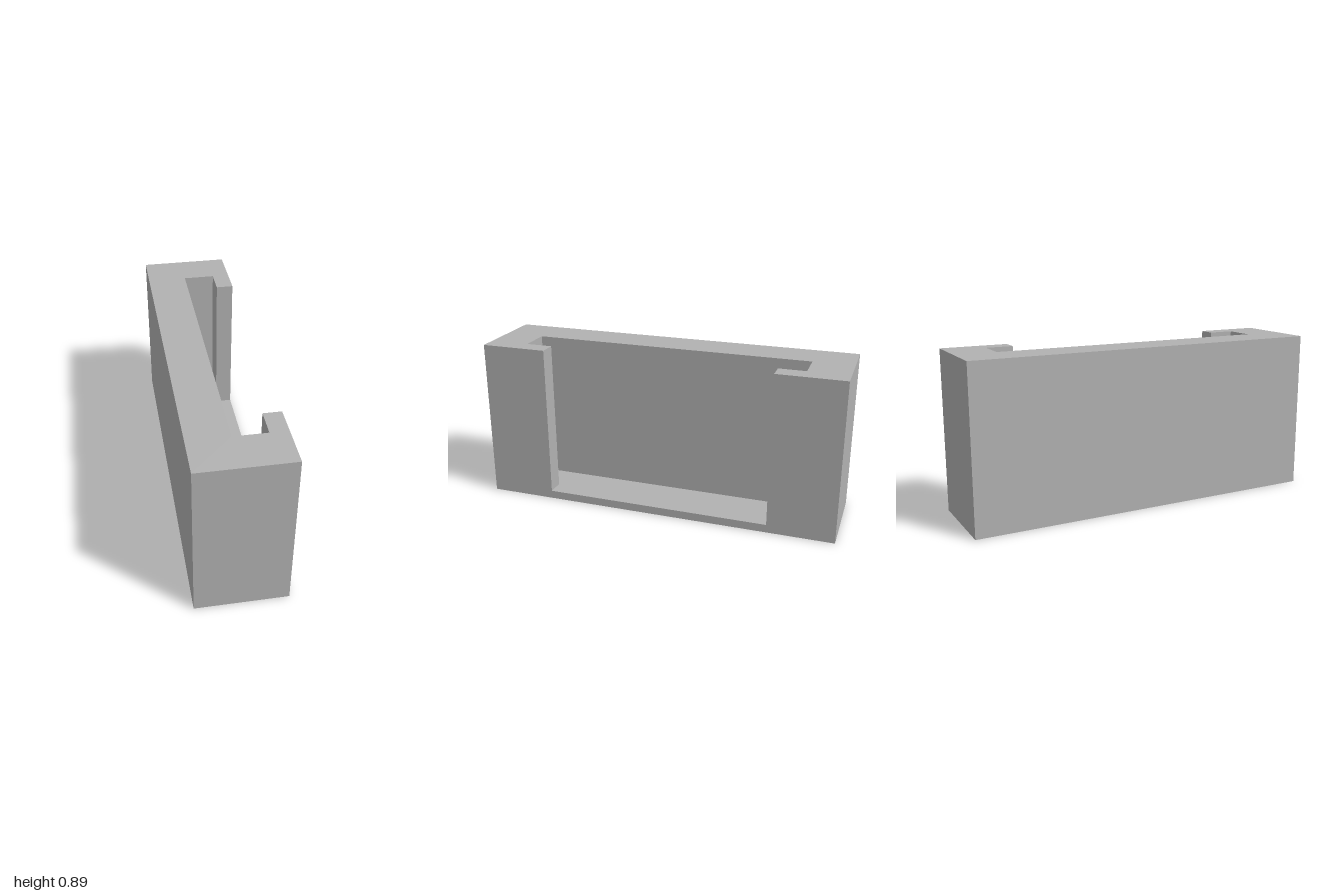
import * as THREE from 'three';

const HALF_W = 0.243, HALF_L = 1, HEIGHT = 0.89, FLOOR = 0.045;
const POCKET_BACK = -0.025, POCKET_FRONT = 0.148, POCKET_HALF = 0.78, OPENING_HALF = 0.633;

export function createModel() {
  const group = new THREE.Group();
  group.name = 'slottedHolder';
  const grey = new THREE.MeshStandardMaterial({ color: 0xb2b2b2 });
  grey.name = 'grey';

  // Solid floor plate
  const base = new THREE.Mesh(new THREE.BoxGeometry(HALF_W * 2, FLOOR, HALF_L * 2), grey);
  base.name = 'base';
  base.position.y = FLOOR / 2;
  group.add(base);

  // C-shaped wall: back, two ends and two retaining lips, open on the +x side
  const profile = new THREE.Shape([
    [-HALF_W, -HALF_L], [HALF_W, -HALF_L],
    [HALF_W, -OPENING_HALF], [POCKET_FRONT, -OPENING_HALF],
    [POCKET_FRONT, -POCKET_HALF], [POCKET_BACK, -POCKET_HALF],
    [POCKET_BACK, POCKET_HALF], [POCKET_FRONT, POCKET_HALF],
    [POCKET_FRONT, OPENING_HALF], [HALF_W, OPENING_HALF],
    [HALF_W, HALF_L], [-HALF_W, HALF_L],
  ].map(([x, z]) => new THREE.Vector2(x, z)));
  const wallGeometry = new THREE.ExtrudeGeometry(profile, { depth: HEIGHT - FLOOR, bevelEnabled: false });
  wallGeometry.rotateX(-Math.PI / 2);
  const walls = new THREE.Mesh(wallGeometry, grey);
  walls.name = 'walls';
  walls.position.y = FLOOR;
  group.add(walls);

  return group;
}
